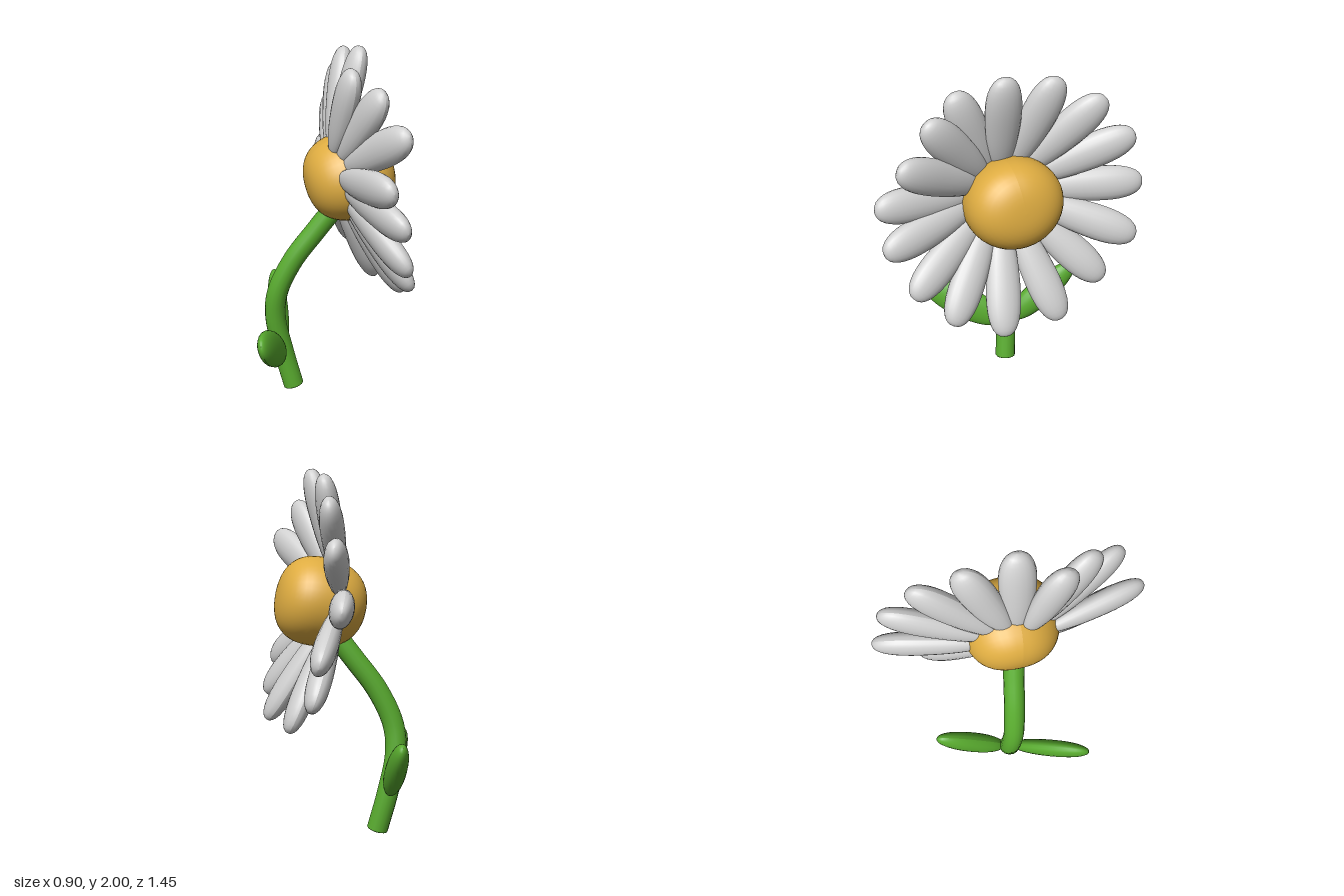
import * as THREE from 'three';

const V = (x, y, z) => new THREE.Vector3(x, y, z);

// Tapered blade from base to tip; 'facing' is the way its broad side looks,
// a higher 'blunt' power makes the ends fuller.
function blade(base, tip, facing, width, thick, taper, blunt) {
  const dir = tip.clone().sub(base);
  const length = dir.length();
  dir.normalize();
  const side = dir.clone().cross(facing).normalize();
  const normal = side.clone().cross(dir).normalize();
  const geo = new THREE.SphereGeometry(1, 20, 20);
  const pos = geo.attributes.position;
  for (let i = 0; i < pos.count; i++) {
    const y = pos.getY(i);
    const round = Math.sqrt(Math.max(1 - y * y, 1e-6));
    const full = Math.pow(Math.max(1 - Math.pow(Math.abs(y), blunt), 0), 1 / blunt);
    const swell = (1 + taper * y) * full / round / 2;
    pos.setXYZ(i, pos.getX(i) * swell * width, (y + 1) * length / 2, pos.getZ(i) * swell * thick);
  }
  geo.applyMatrix4(new THREE.Matrix4().makeBasis(side, dir, normal).setPosition(base));
  geo.computeVertexNormals();
  return geo;
}

export function createModel() {
  const model = new THREE.Group();
  const mat = (name, color) => new THREE.MeshStandardMaterial({ name, color });
  const white = mat('petal white', 0xd0d0d0);
  const yellow = mat('centre yellow', 0xdeac41);
  const green = mat('leaf green', 0x58aa2e);
  const add = (name, geo, material, parent = model) => {
    const mesh = new THREE.Mesh(geo, material);
    mesh.name = name;
    parent.add(mesh);
    return mesh;
  };

  const axis = V(0.96, 0.2, 0.14).normalize(); // the way the flower looks

  // Flower centre: a slightly squared ball, narrower at the back
  const ball = new THREE.SphereGeometry(1, 40, 28);
  const p = ball.attributes.position;
  const n = 2.5;
  for (let i = 0; i < p.count; i++) {
    const v = V(p.getX(i), p.getY(i), p.getZ(i));
    const r = Math.hypot(v.x, v.z);
    v.multiplyScalar(1 / Math.pow(Math.pow(r, n) + Math.pow(Math.abs(v.y), n), 1 / n));
    const narrow = 1 + 0.05 * v.y;
    p.setXYZ(i, v.x * 0.241 * narrow, v.y * 0.243, v.z * 0.241 * narrow);
  }
  ball.computeVertexNormals();
  const centre = add('flowerCentre', ball, yellow);
  centre.position.set(0.163, 1.288, -0.003);
  centre.quaternion.setFromUnitVectors(V(0, 1, 0), axis);
  centre.scale.set(1, 1, 1.09);

  // Ring of petals, given by their tips
  const petals = new THREE.Group();
  petals.name = 'petals';
  model.add(petals);
  const hub = V(0.04, 1.3, 0);
  const tips = [
    [0.2, 2.0, 0.055], [0.225, 1.96, -0.23], [0.285, 1.83, -0.475], [0.32, 1.605, -0.65],
    [0.31, 1.3, -0.725], [0.4, 1.025, -0.645], [0.375, 0.785, -0.465], [0.41, 0.62, -0.185],
    [0.425, 0.63, 0.165], [0.35, 0.74, 0.43], [0.25, 0.905, 0.605], [0.175, 1.165, 0.72],
    [0.09, 1.38, 0.725], [0.21, 1.635, 0.635], [0.15, 1.82, 0.46], [0.065, 1.91, 0.275],
  ];
  for (const t of tips) {
    const tip = V(...t);
    const base = hub.clone().lerp(tip, 0.2);
    add('petal', blade(base, tip, axis, 0.186, 0.122, 0.22, 2.4), white, petals);
  }

  // Bent stem with a softly rounded foot
  const path = new THREE.CatmullRomCurve3([
    V(-0.125, 0.022, -0.125), V(-0.175, 0.23, -0.15), V(-0.222, 0.45, -0.15),
    V(-0.215, 0.61, -0.13), V(-0.135, 0.8, -0.095), V(-0.01, 0.98, -0.05), V(0.12, 1.16, 0),
  ]);
  add('stem', new THREE.TubeGeometry(path, 40, 0.059, 16), green);
  const foot = add('stemFoot', new THREE.SphereGeometry(1, 16, 10), green);
  foot.scale.set(0.059, 0.013, 0.059);
  foot.position.copy(path.getPoint(0));
  foot.quaternion.setFromUnitVectors(V(0, 1, 0), path.getTangent(0));

  // Two leaves
  add('leftLeaf', blade(V(-0.185, 0.24, -0.13), V(-0.445, 0.47, 0.25), V(1, 0.25, 0.55), 0.205, 0.1, 0.04, 2.2), green);
  add('rightLeaf', blade(V(-0.17, 0.25, -0.19), V(-0.085, 0.58, -0.555), V(1, 0.1, 0.45), 0.165, 0.115, -0.05, 2.2), green);

  return model;
}
